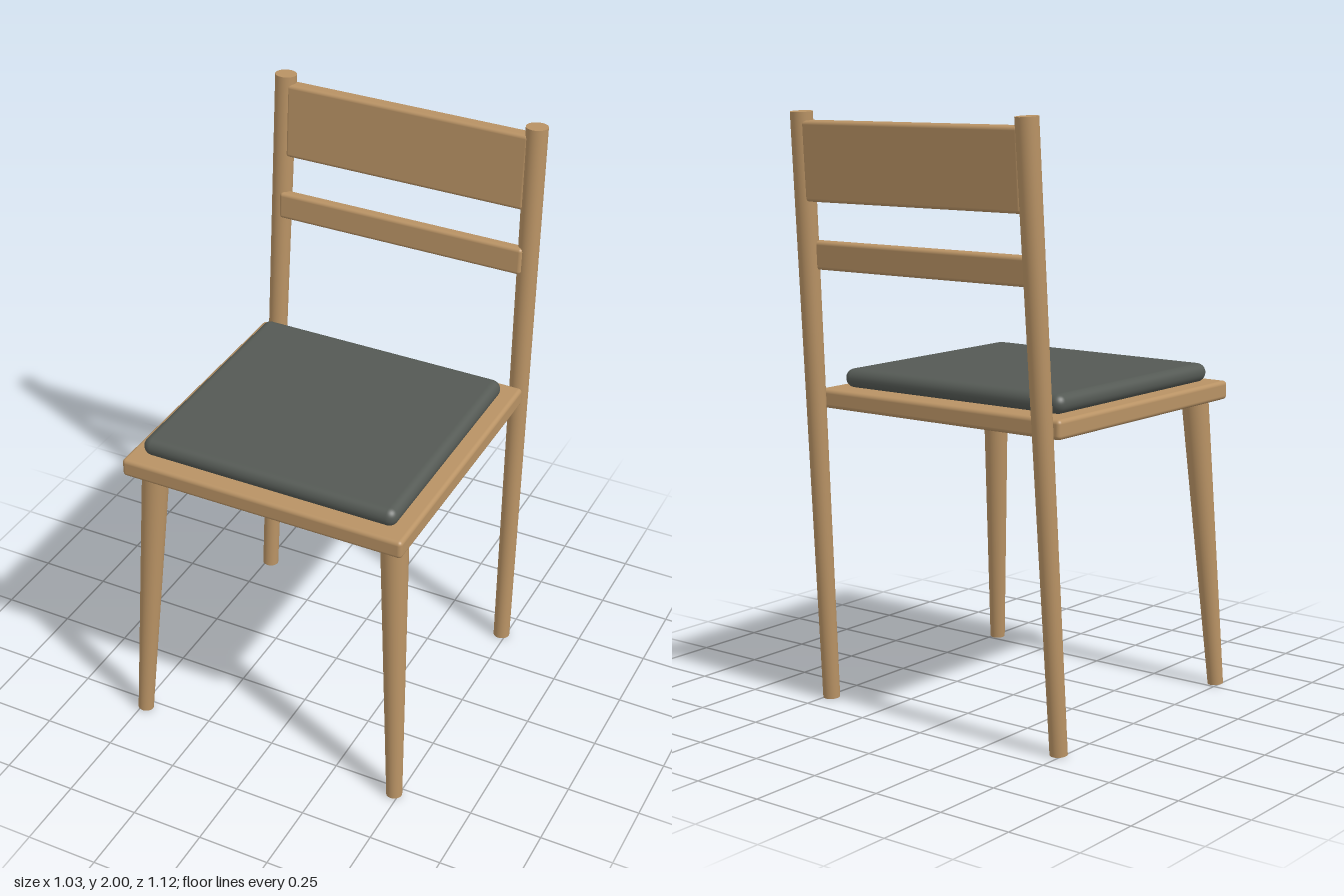
import * as THREE from 'three';
import { RoundedBoxGeometry } from 'three/addons/geometries/RoundedBoxGeometry.js';

export function createModel() {
  const chair = new THREE.Group();
  chair.name = 'chair';

  const wood = new THREE.MeshStandardMaterial({ color: 0xb89264 });
  wood.name = 'wood';
  const fabric = new THREE.MeshStandardMaterial({ color: 0x545954 });
  fabric.name = 'greyFabric';

  function add(name, geometry, material) {
    const mesh = new THREE.Mesh(geometry, material);
    mesh.name = name;
    chair.add(mesh);
    return mesh;
  }

  // Rounded board, optionally leaning back
  function board(name, size, position, radius, material, lean = 0) {
    const mesh = add(name, new RoundedBoxGeometry(...size, 5, radius), material);
    mesh.position.set(...position);
    mesh.rotation.x = -lean;
  }

  // Tapered round post between two points
  function post(name, bottom, top, bottomRadius, topRadius) {
    const a = new THREE.Vector3(...bottom);
    const b = new THREE.Vector3(...top);
    const axis = b.clone().sub(a);
    const mesh = add(name, new THREE.CylinderGeometry(topRadius, bottomRadius, axis.length(), 32), wood);
    mesh.position.copy(a).add(b).multiplyScalar(0.5);
    mesh.quaternion.setFromUnitVectors(new THREE.Vector3(0, 1, 0), axis.normalize());
  }

  // Seat and cushion
  board('seat', [1, 0.064, 0.976], [0, 1.045, 0.068], 0.014, wood);
  board('cushion', [0.906, 0.064, 0.86], [0, 1.108, 0.078], 0.0315, fabric);

  // Splayed front legs and full-height back posts
  for (const [side, s] of [['left', 1], ['right', -1]]) {
    post(side + 'FrontLeg', [s * 0.485, 0.003, 0.534], [s * 0.432, 1.012, 0.456], 0.027, 0.046);
    post(side + 'BackPost', [s * 0.484, 0.002, -0.396], [s * 0.454, 1.998, -0.527], 0.029, 0.037);
  }

  // Backrest boards, leaning with the posts
  const lean = Math.atan2(0.131, 1.996);
  board('backrestPanel', [0.876, 0.26, 0.055], [0, 1.84, -0.516], 0.012, wood, lean);
  board('backrestRail', [0.904, 0.094, 0.042], [0, 1.533, -0.475], 0.012, wood, lean);

  return chair;
}
